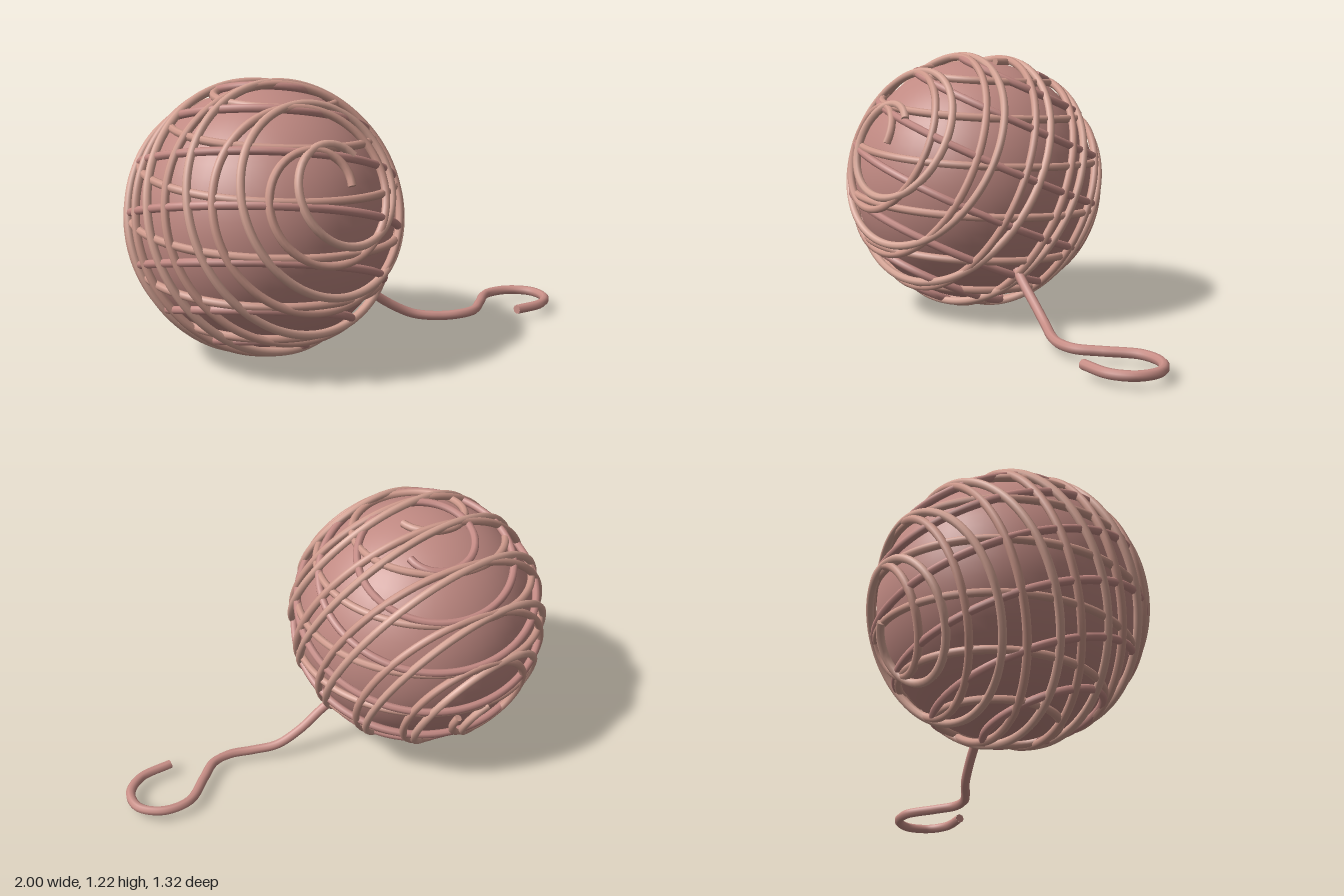
import * as THREE from 'three';

const CENTRE = new THREE.Vector3(-0.39, 0.62, -0.05);
const UP = new THREE.Vector3(0, 1, 0);

// A round strand along a curve, closed with flat discs at both ends
function strand(name, curve, segments, radius, color) {
  const group = new THREE.Group();
  group.name = name;
  const material = new THREE.MeshStandardMaterial({ color });
  const tube = new THREE.Mesh(new THREE.TubeGeometry(curve, segments, radius, 8), material);
  tube.name = name + 'Tube';
  group.add(tube);
  for (const t of [0, 1]) {
    const cap = new THREE.Mesh(new THREE.CircleGeometry(radius, 8), material);
    const out = curve.getTangentAt(t).multiplyScalar(t ? 1 : -1);
    cap.name = name + 'End';
    cap.position.copy(curve.getPointAt(t));
    cap.quaternion.setFromUnitVectors(new THREE.Vector3(0, 0, 1), out);
    group.add(cap);
  }
  return group;
}

// Pole-to-pole spiral on a sphere: pole is its axis, start points to its first end
function spiral(pole, start, radius, turns = 7) {
  const axis = new THREE.Vector3(...pole).normalize();
  const u = new THREE.Vector3(...start).projectOnPlane(axis).normalize();
  const v = new THREE.Vector3().crossVectors(axis, u);
  const points = [];
  const count = turns * 28;
  for (let i = 0; i <= count; i++) {
    const t = i / count;
    const theta = THREE.MathUtils.lerp(0.22, Math.PI - 0.22, t);
    const phi = t * turns * Math.PI * 2;
    points.push(new THREE.Vector3()
      .addScaledVector(axis, Math.cos(theta))
      .addScaledVector(u, Math.sin(theta) * Math.cos(phi))
      .addScaledVector(v, Math.sin(theta) * Math.sin(phi))
      .multiplyScalar(radius)
      .add(CENTRE));
  }
  return new THREE.CatmullRomCurve3(points);
}

export function createModel() {
  const model = new THREE.Group();
  model.name = 'yarnBall';

  // Solid core of the ball
  const core = new THREE.Mesh(
    new THREE.SphereGeometry(0.57, 48, 32),
    new THREE.MeshStandardMaterial({ color: 0xc08982 })
  );
  core.name = 'core';
  core.position.copy(CENTRE);
  model.add(core);

  // Wound layers, each about its own axis
  const windings = [
    { pole: UP.toArray(), start: [1, 0, 0], radius: 0.583, color: 0xcf9a8c },
    { pole: [0.24, 0.93, -0.26], start: [1, 0, 0], radius: 0.588, color: 0xc48a84 },
    { pole: [-0.32, 0.36, 0.88], start: [1, 0, 0], radius: 0.593, color: 0xcf9a8c },
    { pole: [-0.15, 0.42, 0.89], start: [0.65, 0.7, 0], radius: 0.597, color: 0xd6a495 },
  ];
  windings.forEach((w, i) => {
    model.add(strand('winding' + (i + 1), spiral(w.pole, w.start, w.radius), 700, 0.018, w.color));
  });

  // Loose tail running down to the ground and curling back
  const tail = new THREE.CatmullRomCurve3([
    [-0.03, 0.29, 0.12], [0.06, 0.22, 0.17], [0.17, 0.135, 0.22], [0.27, 0.075, 0.28],
    [0.36, 0.057, 0.36], [0.45, 0.057, 0.425], [0.54, 0.057, 0.445], [0.65, 0.057, 0.405],
    [0.8, 0.057, 0.35], [0.92, 0.057, 0.395], [0.977, 0.057, 0.5], [0.935, 0.057, 0.6],
    [0.83, 0.057, 0.64], [0.68, 0.057, 0.6],
  ].map((p) => new THREE.Vector3(...p)));
  model.add(strand('looseTail', tail, 120, 0.022, 0xc98f87));

  return model;
}
